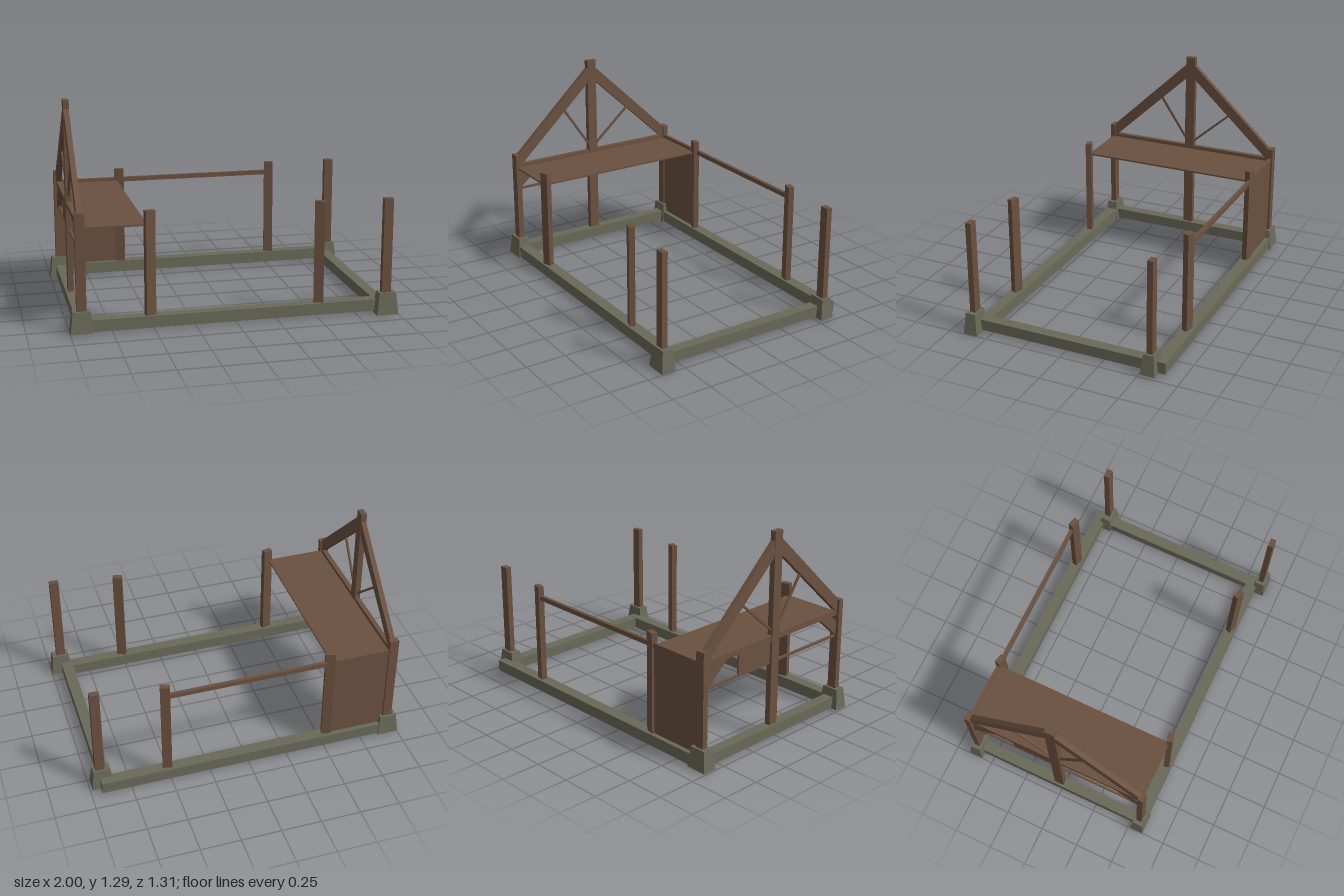
import * as THREE from 'three';

const wood = new THREE.MeshStandardMaterial({ color: 0x6b5140 });
wood.name = 'brown timber';
const stone = new THREE.MeshStandardMaterial({ color: 0x6a6a59 });
stone.name = 'grey stone';

export function createModel() {
  const model = new THREE.Group();
  model.name = 'timberFrame';

  const add = (name, geometry, material) => {
    const mesh = new THREE.Mesh(geometry, material);
    mesh.name = name;
    model.add(mesh);
    return mesh;
  };

  // Box given by its extents
  const box = (name, material, x0, x1, y0, y1, z0, z1) => {
    const mesh = add(name, new THREE.BoxGeometry(x1 - x0, y1 - y0, z1 - z0), material);
    mesh.position.set((x0 + x1) / 2, (y0 + y1) / 2, (z0 + z1) / 2);
    return mesh;
  };

  // Flat timber cut from a [z, y] outline, running from x0 to x1
  const plank = (name, outline, x0, x1) => {
    const shape = new THREE.Shape(outline.map(([z, y]) => new THREE.Vector2(z, y)));
    const mesh = add(name, new THREE.ExtrudeGeometry(shape, { depth: x1 - x0, bevelEnabled: false }), wood);
    mesh.rotation.y = -Math.PI / 2;
    mesh.position.x = x1;
    return mesh;
  };

  // Tapered stone footing
  const footing = (name, x, z, y0) => {
    const h = 0.138 - y0;
    const g = new THREE.BoxGeometry(0.136, h, 0.09).toNonIndexed();
    const p = g.attributes.position;
    for (let i = 0; i < p.count; i++) {
      if (p.getY(i) > 0) p.setXYZ(i, p.getX(i) * 0.78, p.getY(i), p.getZ(i) * 0.72);
    }
    g.computeVertexNormals();
    add(name, g, stone).position.set(x, y0 + h / 2, z);
  };

  // Corner footings and posts: [name, x, z, footing base, post top]
  [
    ['frontLeft', 0.932, 0.61, 0, 0.727],
    ['backLeft', 0.919, -0.557, 0.008, 0.727],
    ['frontRight', -0.932, 0.557, 0.008, 0.727],
    ['backRight', -0.932, -0.613, 0.008, 0.727],
  ].forEach(([name, x, z, y0, top]) => {
    footing(name + 'Footing', x, z, y0);
    const px = x > 0 ? 0.928 : -0.93;
    box(name + 'Post', wood, px - 0.029, px + 0.029, 0.12, top, z - 0.018, z + 0.018);
  });

  // Stone sill beams
  box('frontSill', stone, -0.95, 0.9, 0.013, 0.085, 0.52, 0.591);
  box('backSill', stone, -0.96, 0.935, 0.014, 0.086, -0.648, -0.575);
  box('leftSill', stone, 0.865, 0.934, 0.015, 0.084, -0.575, 0.575);
  box('rightSill', stone, -0.961, -0.893, 0.015, 0.084, -0.6, 0.55);

  // Intermediate posts, each slightly twisted
  [
    [-0.521, 0.557, 0.25], [0.516, 0.557, -0.35],
    [-0.521, -0.608, -0.25], [0.516, -0.608, -0.25],
  ].forEach(([x, z, turn]) => {
    box('middlePost', wood, x - 0.03, x + 0.03, 0.08, 0.72, z - 0.018, z + 0.018).rotation.y = turn;
  });

  // Back rail, back wall and loft floor
  box('backRail', wood, -0.91, 0.5, 0.632, 0.661, -0.624, -0.602);
  box('backWall', wood, -0.91, -0.545, 0.084, 0.633, -0.618, -0.604);
  box('loftFloor', wood, -0.91, -0.535, 0.628, 0.639, -0.602, 0.56);

  // Gable end
  box('kingPost', wood, -0.946, -0.91, 0.08, 1.292, -0.054, 0.01);
  box('tieBeam', wood, -0.942, -0.912, 0.626, 0.661, -0.6, 0.545);
  box('lowerRail', wood, -0.934, -0.92, 0.479, 0.493, -0.6, 0.545);
  box('gablePanel', wood, -0.932, -0.922, 0.49, 0.628, -0.32, -0.05);

  plank('frontRafter', [[0.005, 1.244], [0.005, 1.145], [0.53, 0.655], [0.56, 0.655], [0.56, 0.716]], -0.944, -0.912);
  plank('backRafter', [[-0.05, 1.24], [-0.05, 1.145], [-0.58, 0.655], [-0.612, 0.655], [-0.612, 0.712]], -0.944, -0.912);

  plank('frontKneeBrace', [[0.545, 0.49], [0.545, 0.588], [0.485, 0.63], [0.385, 0.63]], -0.942, -0.914);
  plank('backKneeBrace', [[-0.6, 0.475], [-0.6, 0.555], [-0.515, 0.63], [-0.42, 0.63]], -0.942, -0.914);

  plank('frontStrut', [[0.005, 0.715], [0.005, 0.692], [0.201, 0.98], [0.188, 0.986]], -0.934, -0.922);
  plank('backStrut', [[-0.05, 0.703], [-0.05, 0.685], [-0.31, 0.914], [-0.3, 0.922]], -0.934, -0.922);

  return model;
}
